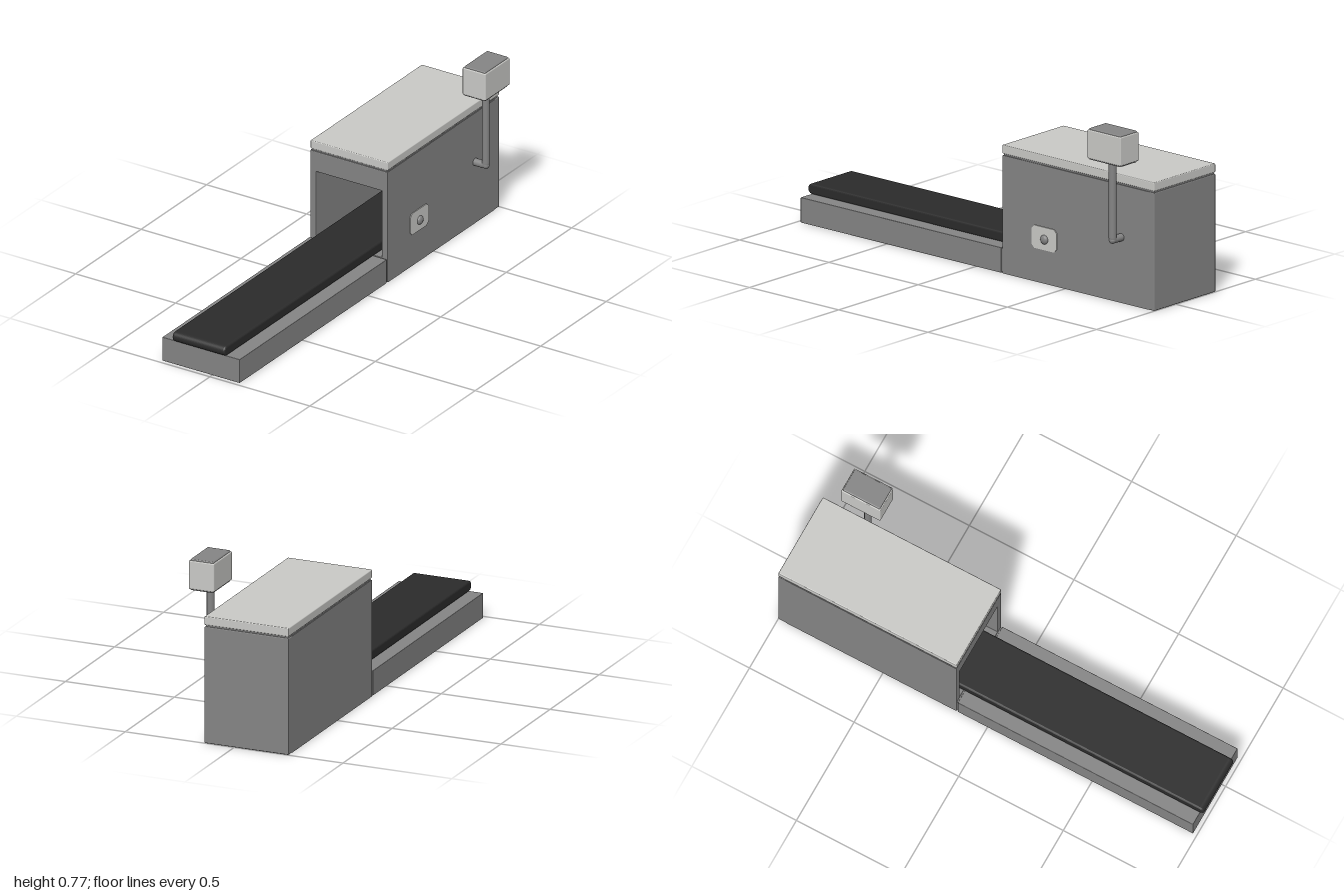
import * as THREE from 'three';
import { RoundedBoxGeometry } from 'three/addons/geometries/RoundedBoxGeometry.js';

const mat = (name, color) => new THREE.MeshStandardMaterial({ name, color });

export function createModel() {
  const grey = mat('housing grey', 0x848484);
  const light = mat('panel light grey', 0xc9c9c6);
  const black = mat('belt black', 0x2b2b2b);
  const group = new THREE.Group();

  const add = (name, geometry, material, x = 0, y = 0, z = 0) => {
    const mesh = new THREE.Mesh(geometry, material);
    mesh.name = name;
    mesh.position.set(x, y, z);
    group.add(mesh);
    return mesh;
  };
  // Box given by its limits, with softened edges
  const box = (name, material, [x0, x1], [y0, y1], [z0, z1], r = 0.004) =>
    add(name, new RoundedBoxGeometry(x1 - x0, y1 - y0, z1 - z0, 2, r), material,
      (x0 + x1) / 2, (y0 + y1) / 2, (z0 + z1) / 2);
  const rect = (path, x0, x1, y0, y1) => path.moveTo(x0, y0).lineTo(x1, y0)
    .lineTo(x1, y1).lineTo(x0, y1).closePath();

  // Scanner tunnel: a frame swept along z, closed by a back wall
  const b = 0.004;
  const frame = rect(new THREE.Shape(), -0.25 + b, 0.137 - b, b, 0.515 - b);
  frame.holes.push(rect(new THREE.Path(), -0.22 - b, 0.107 + b, 0.11 - b, 0.42 + b));
  add('tunnelHousing', new THREE.ExtrudeGeometry(frame, {
    depth: 0.82 - 2 * b, bevelThickness: b, bevelSize: b, bevelSegments: 2,
  }), grey, 0, 0, -0.968 + b);
  box('tunnelBackWall', grey, [-0.25, 0.137], [0, 0.515], [-1, -0.96]);

  // Lid resting on a slightly inset seam
  box('lidSeam', grey, [-0.246, 0.133], [0.505, 0.53], [-0.996, -0.152]);
  box('lid', light, [-0.25, 0.137], [0.522, 0.56], [-1, -0.148]);

  // Long table in front of the tunnel
  box('table', grey, [-0.25, 0.137], [0, 0.11], [-0.142, 0.982], 0.002);
  box('tableJoint', grey, [-0.246, 0.133], [0.004, 0.106], [-0.16, -0.13], 0.002);

  // Conveyor belt with round ends, swept across x
  const r = 0.0225, c = 0.008, rr = r - c;
  const loop = new THREE.Shape();
  loop.absarc(0.95 - r, 0, rr, Math.PI / 2, -Math.PI / 2, true);
  loop.absarc(-1 + r, 0, rr, -Math.PI / 2, -Math.PI * 1.5, true);
  const belt = add('conveyorBelt', new THREE.ExtrudeGeometry(loop, {
    depth: 0.263 - 2 * c, bevelThickness: c, bevelSize: c, bevelSegments: 3, curveSegments: 10,
  }), black, -0.19 + c, 0.1325, 0);
  belt.rotation.y = Math.PI / 2;
  // shape x runs towards -z after the turn
  belt.position.z = 0;

  // Bent arm holding the monitor
  const arm = new THREE.CurvePath();
  const p = (x, y) => new THREE.Vector3(x, y, -0.815);
  arm.add(new THREE.LineCurve3(p(0.108, 0.287), p(0.18, 0.287)));
  arm.add(new THREE.QuadraticBezierCurve3(p(0.18, 0.287), p(0.191, 0.287), p(0.191, 0.298)));
  arm.add(new THREE.LineCurve3(p(0.191, 0.298), p(0.191, 0.64)));
  add('monitorArm', new THREE.TubeGeometry(arm, 60, 0.0165, 16), grey);
  add('armElbow', new THREE.SphereGeometry(0.0165, 16, 10), grey, 0.191, 0.287, -0.815);
  add('armEnd', new THREE.SphereGeometry(0.0165, 16, 10), grey, 0.11, 0.287, -0.815);

  // Monitor with grey caps above and below
  box('monitorBody', light, [0.133, 0.249], [0.638, 0.764], [-0.911, -0.724], 0.005);
  box('monitorTopCap', grey, [0.138, 0.244], [0.755, 0.77], [-0.906, -0.729], 0.005);
  box('monitorBottomCap', grey, [0.138, 0.244], [0.632, 0.647], [-0.906, -0.729], 0.005);

  // Control plate with clipped corners and a domed button
  const plate = new THREE.Shape([
    [-0.07, -0.035], [-0.055, -0.05], [0.055, -0.05], [0.07, -0.035],
    [0.07, 0.035], [0.055, 0.05], [-0.055, 0.05], [-0.07, 0.035],
  ].map(([x, y]) => new THREE.Vector2(x, y)));
  add('controlPlate', new THREE.ExtrudeGeometry(plate, { depth: 0.005, bevelEnabled: false }),
    light, 0.136, 0.197, -0.386).rotation.y = Math.PI / 2;
  const dome = [[0.02, 0], [0.02, 0.005], [0.016, 0.01], [0.009, 0.013], [0, 0.014]]
    .map(([x, y]) => new THREE.Vector2(x, y));
  add('controlButton', new THREE.LatheGeometry(dome, 20), grey, 0.139, 0.194, -0.388)
    .rotation.z = -Math.PI / 2;

  // Shape x maps to -z, so slide the belt until its front end reaches z = 1
  belt.geometry.computeBoundingBox();
  belt.position.z = 1 + belt.geometry.boundingBox.min.x;
  return group;
}
